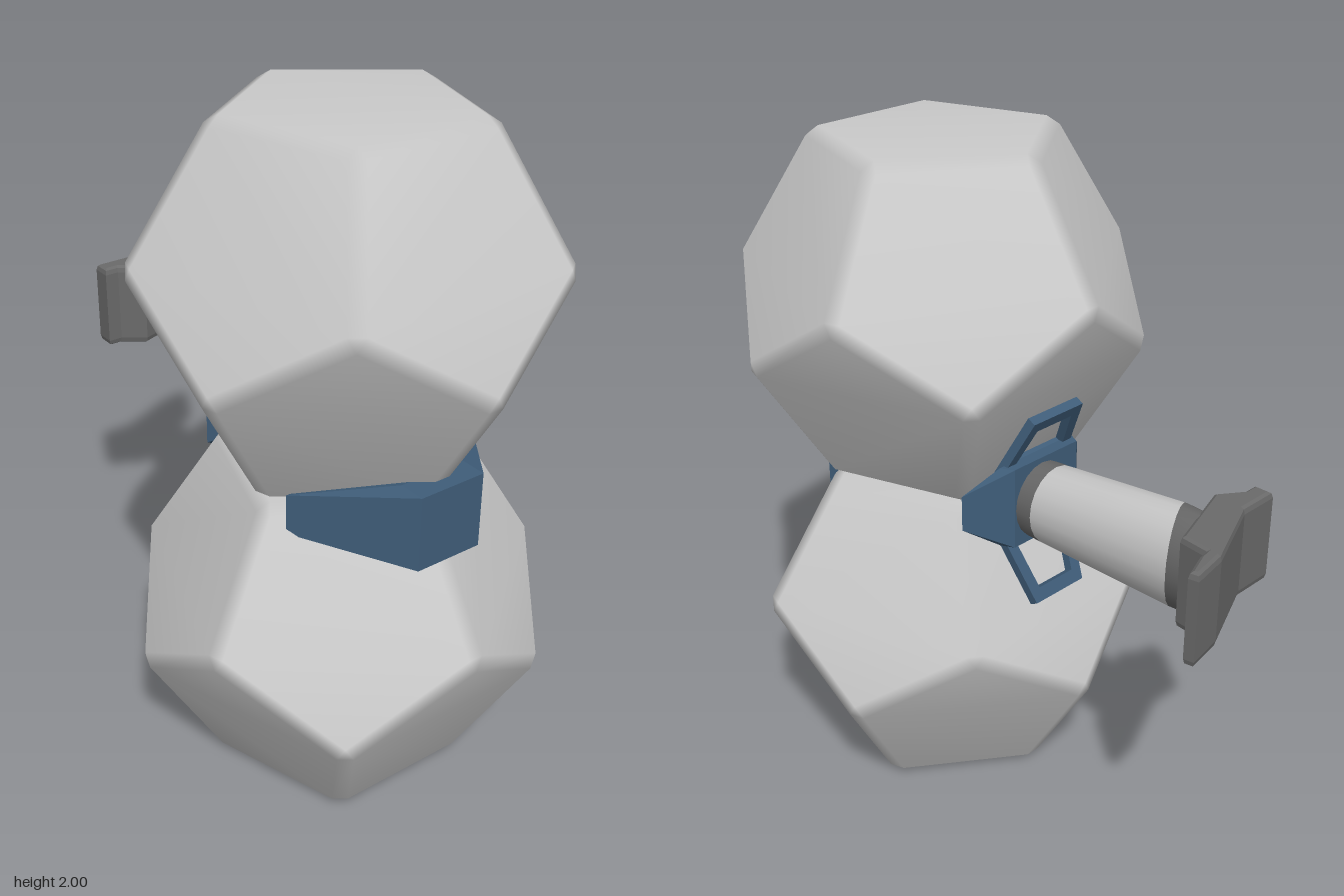
import * as THREE from 'three';
import { mergeVertices } from 'three/addons/utils/BufferGeometryUtils.js';
import { ConvexGeometry } from 'three/addons/geometries/ConvexGeometry.js';

const V = (x, y, z) => new THREE.Vector3(x, y, z);
const mat = (name, color) => {
  const m = new THREE.MeshStandardMaterial({ color });
  m.name = name;
  return m;
};

// Dodecahedron resting on a face, edges chamfered and smoothed; flip = -1 mirrors it in y
function softDodecahedron(inradius, inset, flip) {
  const s = inradius / 0.5, verts = [], normals = [V(0, 1, 0), V(0, -1, 0)], points = [];
  for (let k = 0; k < 5; k++) {
    const a = k * Math.PI * 0.4, b = a + Math.PI * 0.2;
    for (const [t, side] of [[b, 1], [a, -1]]) {
      for (const [r, y] of [[0.381966, 0.5], [0.618034, 0.118034]])
        verts.push(V(r * s * Math.cos(t), side * y * s, r * s * Math.sin(t)));
    }
    normals.push(V(0.894427 * Math.cos(a), 0.447214, 0.894427 * Math.sin(a)));
    normals.push(V(0.894427 * Math.cos(b), -0.447214, 0.894427 * Math.sin(b)));
  }
  for (const n of normals) {
    const centre = n.clone().multiplyScalar(inradius);
    for (const v of verts)
      if (v.dot(n) > inradius - 0.005) points.push(v.clone().lerp(centre, inset));
  }
  points.forEach((p) => { p.y *= flip; });
  const raw = new ConvexGeometry(points);
  raw.deleteAttribute('normal');
  const geo = mergeVertices(raw, 1e-4);
  geo.computeVertexNormals();
  return geo;
}

// Wedge clasp from [x, half width in z, low y, high y] sections
function clasp(sections) {
  const pts = [];
  for (const [x, w, lo, hi] of sections)
    for (const z of [-w, w]) pts.push(V(x, lo, z), V(x, hi, z));
  return new ConvexGeometry(pts);
}

// Flat open frame lying against a sloping facet
function frame(length, dir) {
  const shape = new THREE.Shape([[-0.15, 0.06], [0.15, 0.06], [0.1, length], [-0.1, length]]
    .map(([x, y]) => new THREE.Vector2(x, y)));
  shape.holes.push(new THREE.Path([[-0.1, 0.14], [-0.07, length - 0.04], [0.07, length - 0.04], [0.1, 0.14]]
    .map(([x, y]) => new THREE.Vector2(x, y))));
  const geo = new THREE.ExtrudeGeometry(shape, { depth: 0.03, bevelEnabled: false });
  const up = V(-0.447, 0.894 * dir, 0), out = V(-0.894, -0.447 * dir, 0);
  const m = new THREE.Matrix4().makeBasis(V(0, 0, dir), up, out);
  m.setPosition(0.009, 1 + 0.01 * dir, 0);
  return geo.applyMatrix4(m);
}

// Lofted grip: stations [x, cy, cz, ry, rz, skew]; group 0 dark, group 1 light panel
function grip(stations, panelRows) {
  const N = 20, pos = [], dark = [], light = [];
  for (const [x, cy, cz, ry, rz, skew] of stations)
    for (let j = 0; j < N; j++) {
      const t = (j / N) * Math.PI * 2;
      pos.push(x + skew * Math.cos(t), cy + ry * Math.sin(t), cz + rz * Math.cos(t));
    }
  for (let i = 0; i < stations.length - 1; i++)
    for (let j = 0; j < N; j++) {
      const a = i * N + j, b = i * N + (j + 1) % N, c = a + N, d = b + N;
      const isLight = panelRows.includes(i) && j >= 2 && j < N - 2;
      (isLight ? light : dark).push(a, b, c, b, d, c);
    }
  const geo = new THREE.BufferGeometry();
  geo.setAttribute('position', new THREE.Float32BufferAttribute(pos, 3));
  geo.setIndex([...dark, ...light]);
  geo.addGroup(0, dark.length, 0);
  geo.addGroup(dark.length, light.length, 1);
  geo.computeVertexNormals();
  return geo;
}

export function createModel() {
  const group = new THREE.Group();
  const shell = mat('lightGrey', 0xcacaca);
  const darkGrey = mat('darkGrey', 0x6a6a6a);
  const blue = mat('slateBlue', 0x3f5d79);
  const add = (name, geo, material) => {
    const mesh = new THREE.Mesh(geo, material);
    mesh.name = name;
    group.add(mesh);
    return mesh;
  };

  // Two mirrored bodies meeting face to face
  for (const [name, y, flip] of [['upperBody', 1.504, 1], ['lowerBody', 0.496, -1]])
    add(name, softDodecahedron(0.496, 0.09, flip), shell).position.set(0.315, y, 0);

  // Clasps around the waist
  add('leftClasp', clasp([
    [0.49, 0.325, 0.925, 1.045], [0.695, 0.105, 0.875, 1.1], [0.775, 0.105, 0.875, 1.1],
  ]), blue);
  add('handleClasp', clasp([
    [-0.01, 0.245, 0.94, 1.05], [-0.07, 0.15, 0.875, 1.13], [-0.11, 0.13, 0.875, 1.13],
  ]), blue);
  add('upperFrame', frame(0.315, 1), blue);
  add('lowerFrame', frame(0.345, -1), blue);

  // Handle with a light wrap over the top, back and underside
  add('handleGrip', grip([
    [-0.05, 0.99, -0.012, 0.115, 0.108, 0],
    [-0.11, 0.995, -0.016, 0.119, 0.109, 0],
    [-0.17, 1.0, -0.021, 0.122, 0.11, 0],
    [-0.4, 1.028, -0.046, 0.133, 0.113, 0.02],
    [-0.66, 1.06, -0.075, 0.145, 0.115, 0.05],
    [-0.8, 1.072, -0.09, 0.138, 0.11, 0.05],
  ], [2, 3]), [darkGrey, shell]);

  // Flared pommel: slanted outline in plan, extruded upright
  const outline = [
    [-0.68, 0.04], [-0.73, 0.11], [-0.73, 0.155], [-0.79, 0.155], [-0.79, 0.03],
    [-0.89, -0.2], [-0.91, -0.315], [-0.88, -0.32], [-0.85, -0.24], [-0.845, -0.21], [-0.76, -0.2],
  ].map(([x, z]) => new THREE.Vector2(x, z));
  const pommel = new THREE.ExtrudeGeometry(new THREE.Shape(outline), {
    depth: 0.235, bevelEnabled: true, bevelThickness: 0.02, bevelSize: 0.012, bevelOffset: -0.012, bevelSegments: 2,
  });
  pommel.rotateX(Math.PI / 2).translate(0, 1.19, 0);
  add('pommel', pommel, darkGrey);

  return group;
}
